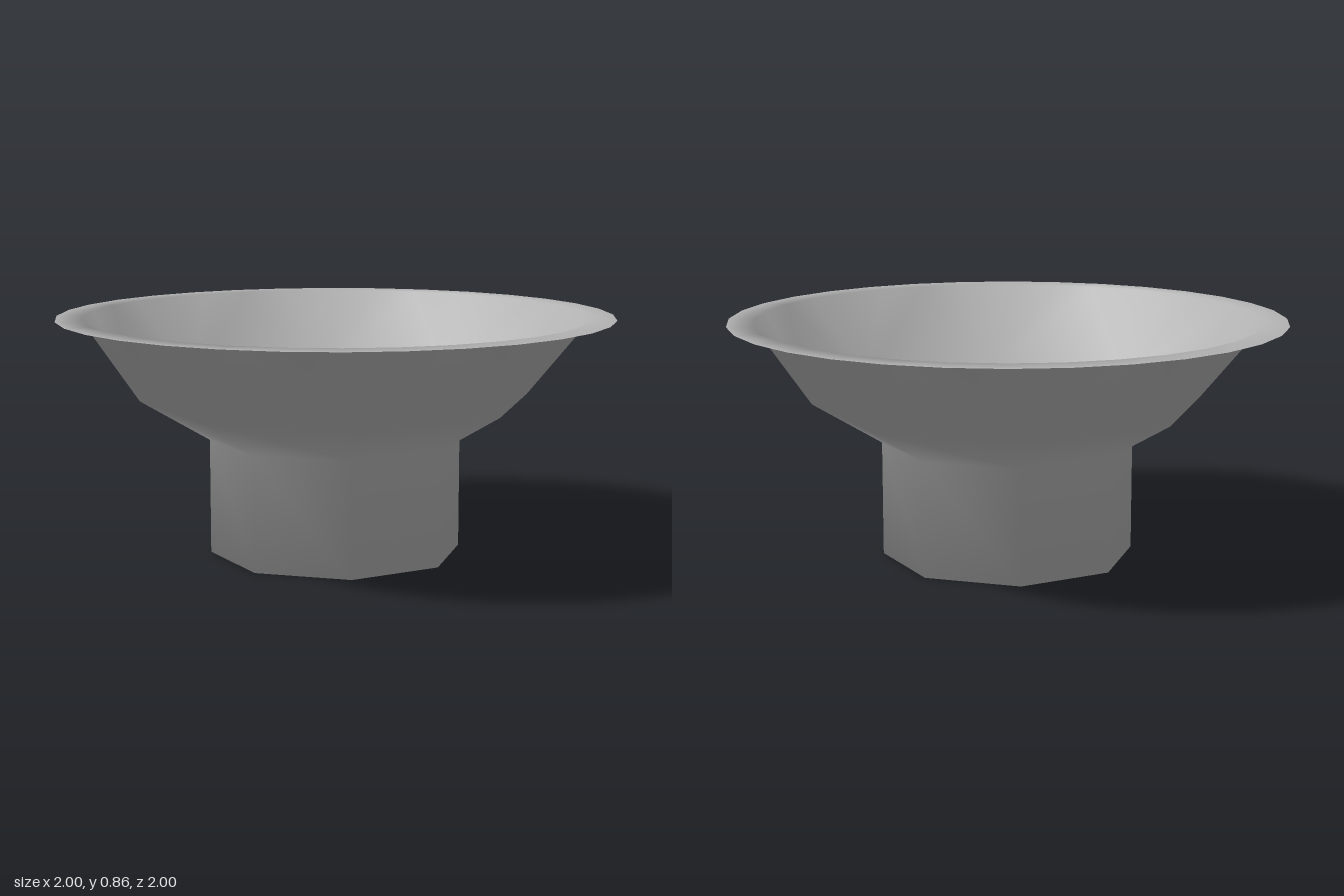
import * as THREE from 'three';

const OCT = 8;
const RIM = 32;
const TWIST = -Math.PI / RIM; // octagonal base sits half a rim step round

export function createModel() {
  const group = new THREE.Group();
  const grey = new THREE.MeshStandardMaterial({ color: 0xb0b0b0, side: THREE.DoubleSide });
  grey.name = 'plain grey';

  const points = [];
  const index = [];

  // Adds one horizontal ring and returns a wrapped vertex lookup
  const ring = (count, radius, y, turn = 0) => {
    const start = points.length / 3;
    for (let i = 0; i < count; i++) {
      const a = turn + (i / count) * Math.PI * 2;
      points.push(radius * Math.cos(a), y, radius * Math.sin(a));
    }
    return (i) => start + ((i + count) % count);
  };

  // Joins two rings of equal count, facing inward and up
  const join = (low, high, count) => {
    for (let i = 0; i < count; i++) {
      index.push(low(i), high(i + 1), high(i), low(i), low(i + 1), high(i + 1));
    }
  };

  const foot = ring(OCT, 0.457, 0, TWIST);
  const neck = ring(OCT, 0.457, 0.415, TWIST);
  const shoulder = ring(OCT, 0.705, 0.56, TWIST);
  const lip = ring(RIM, 0.905, 0.86);
  const edge = ring(RIM, 1, 0.86);
  const centre = points.length / 3;
  points.push(0, 0, 0);

  // Closed floor
  for (let i = 0; i < OCT; i++) index.push(centre, foot(i + 1), foot(i));

  // Octagonal column and lower flare
  join(foot, neck, OCT);
  join(neck, shoulder, OCT);

  // Upper flare: each octagon corner fans out to four rim steps
  for (let k = 0; k < OCT; k++) {
    for (let j = 4 * k - 2; j < 4 * k + 2; j++) index.push(shoulder(k), lip(j + 1), lip(j));
    index.push(shoulder(k), shoulder(k + 1), lip(4 * k + 2));
  }

  // Flat rim
  join(lip, edge, RIM);

  const geometry = new THREE.BufferGeometry();
  geometry.setAttribute('position', new THREE.Float32BufferAttribute(points, 3));
  geometry.setIndex(index);
  geometry.computeVertexNormals();

  const bowl = new THREE.Mesh(geometry, grey);
  bowl.name = 'flaredBowl';
  group.add(bowl);
  return group;
}
